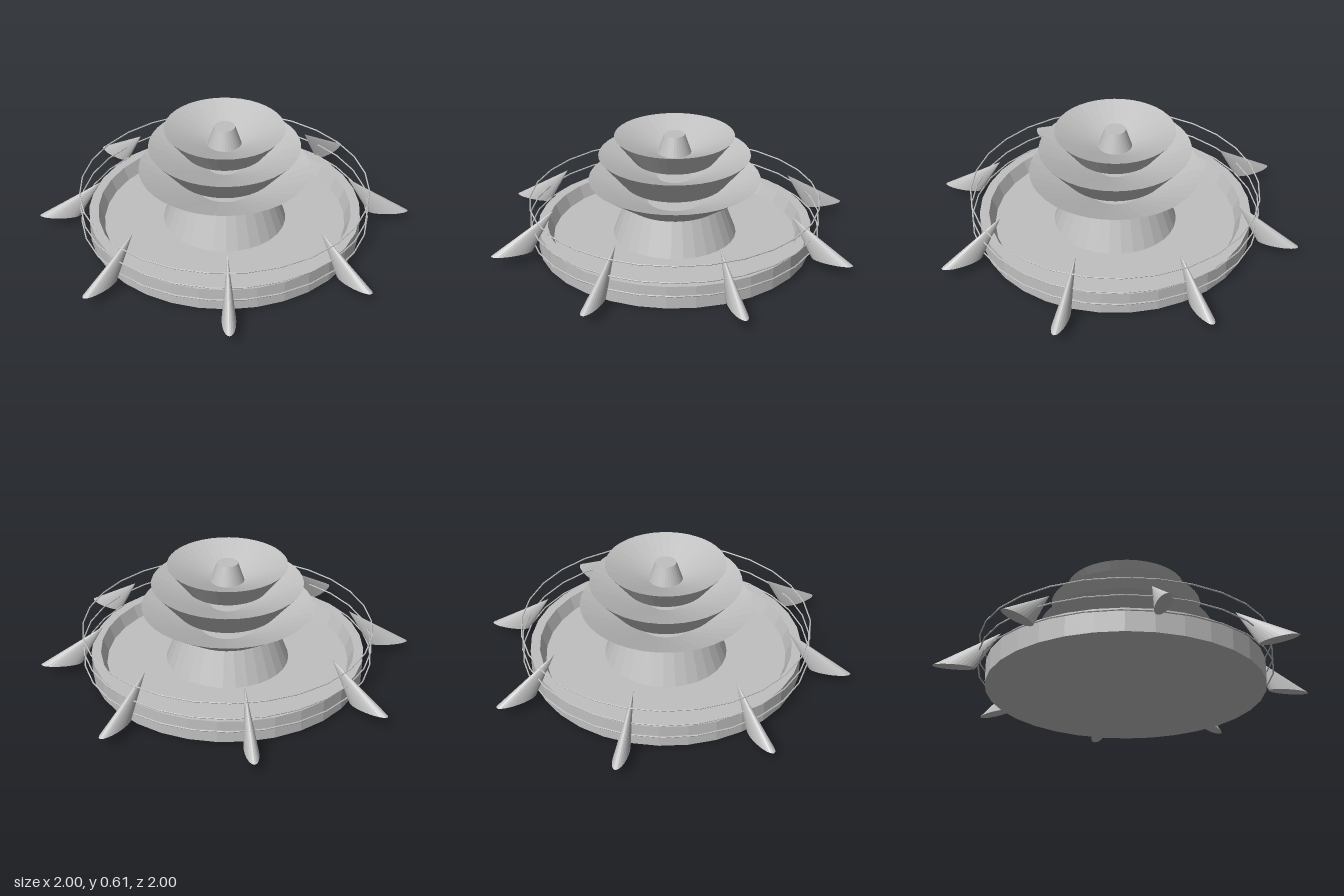
import * as THREE from 'three';

export function createModel() {
  const model = new THREE.Group();
  const stone = new THREE.MeshStandardMaterial({ color: 0xc0c0c0 });
  stone.name = 'grey stone';
  stone.flatShading = true;
  const smoothStone = stone;

  function add(name, geometry, parent = model) {
    const mesh = new THREE.Mesh(geometry, smoothStone);
    mesh.name = name;
    parent.add(mesh);
    return mesh;
  }

  // Profiles run from the bottom centre outward and back in over the top
  function turned(name, profile, sides) {
    const points = profile.map(([r, y]) => new THREE.Vector2(r, y));
    return add(name, new THREE.LatheGeometry(points, sides));
  }

  // Round basin with a sloping inner wall
  turned('basin', [[0, 0], [0.73, 0], [0.73, 0.12], [0.68, 0.12], [0.65, 0.05], [0, 0.05]], 32);

  // Tapered foot of the central column
  turned('pedestal', [[0.33, 0.05], [0.26, 0.235], [0, 0.235]], 32);

  // Three stacked dishes: rim radius, rim height, bottom radius, bottom height
  const dishes = [
    ['lowerDish', 0.455, 0.365, 0.26, 0.23],
    ['middleDish', 0.4, 0.5, 0.27, 0.345],
    ['upperDish', 0.315, 0.605, 0.215, 0.475],
  ];
  for (const [name, rim, top, foot, bottom] of dishes) {
    turned(name, [[0, bottom], [foot, bottom], [rim, top], [0.09, top - (rim - 0.09) * 0.42], [0, top - (rim - 0.09) * 0.42]], 40);
  }

  // Spout in the upper dish
  turned('spout', [[0.09, 0.505], [0.055, 0.61], [0, 0.61]], 32);

  // Thin hoops running through the fins
  for (const y of [0.09, 0.165, 0.255]) {
    const hoop = add('hoop', new THREE.TorusGeometry(0.77, 0.004, 6, 28));
    hoop.rotation.x = Math.PI / 2;
    hoop.position.y = y;
  }

  // Eight slanted cones leaning inward around the basin
  const finHeight = 0.21;
  const lean = new THREE.Matrix4().set(
    0.11, -0.23 / finHeight, 0, 0.89,
    0, 1, 0, 0.065,
    0, 0, 0.035, 0,
    0, 0, 0, 1,
  );
  const finGeometry = new THREE.ConeGeometry(1, finHeight, 24);
  finGeometry.translate(0, finHeight / 2, 0).applyMatrix4(lean);
  for (let i = 0; i < 8; i++) {
    add('fin', finGeometry).rotation.y = (i * Math.PI) / 4;
  }

  return model;
}
